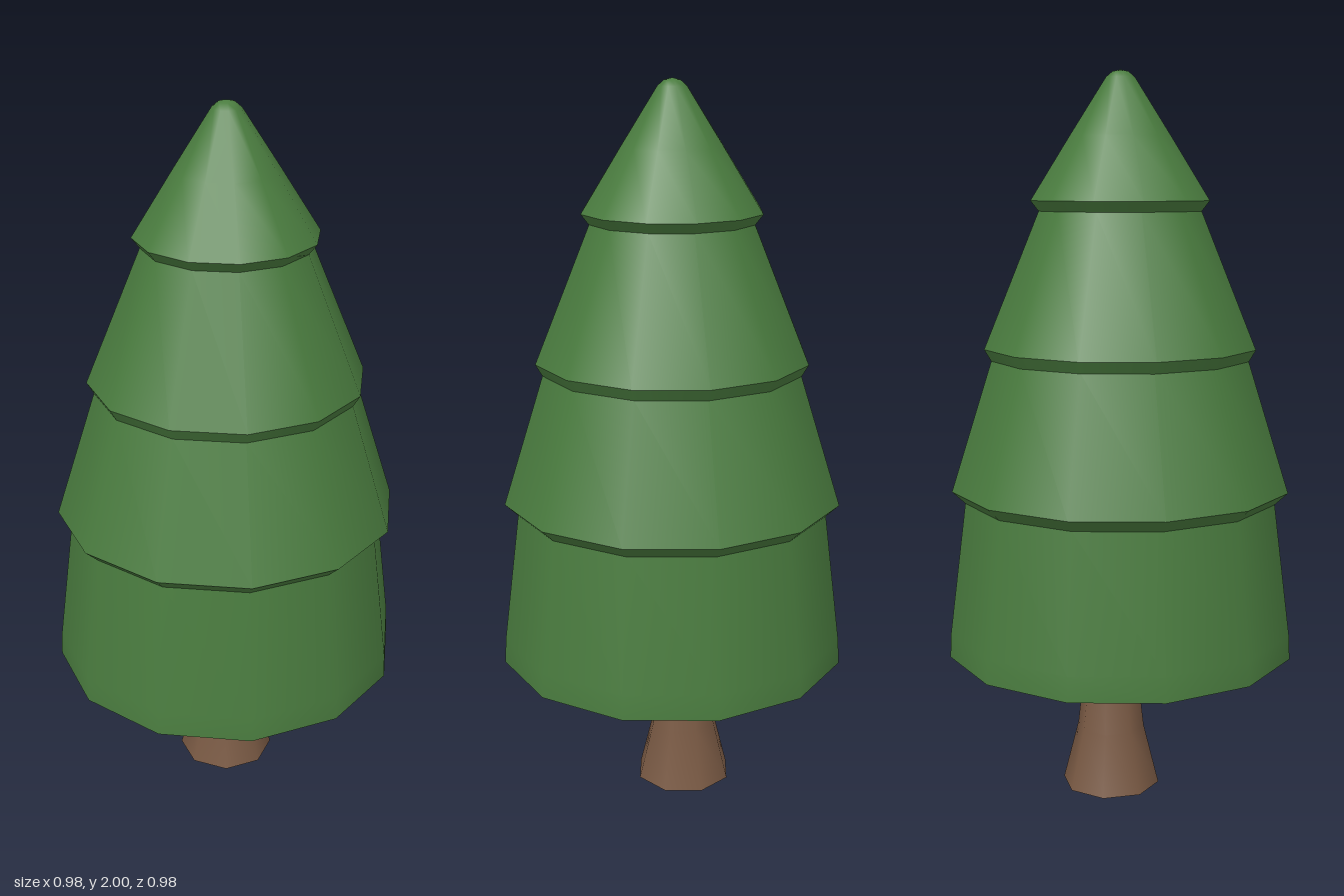
import * as THREE from 'three';

const green = new THREE.MeshStandardMaterial({ color: 0x4a7c3f });
const brown = new THREE.MeshStandardMaterial({ color: 0x7a5a44 });

// Revolve a bottom-to-top [radius, height] profile, smooth around its sides
function lathe(name, profile, sides, material, phase = 0) {
  const points = profile.map(([r, y]) => new THREE.Vector2(r, y));
  const mesh = new THREE.Mesh(new THREE.LatheGeometry(points, sides, phase), material);
  mesh.name = name;
  return mesh;
}

export function createModel() {
  const tree = new THREE.Group();
  tree.name = 'tree';

  // Flared trunk, slightly off the tree's axis
  const trunk = new THREE.Group();
  trunk.name = 'trunk';
  trunk.position.set(-0.015, 0, -0.032);
  trunk.add(
    lathe('trunkBase', [[0, 0], [0.138, 0]], 8, brown, Math.PI / 8),
    lathe('trunkSide', [[0.138, 0], [0.095, 0.17], [0.07, 0.39]], 8, brown, Math.PI / 8)
  );
  tree.add(trunk);

  // Each tier: an undercut below the lip, then a skirt rising to the next tier
  const tiers = [
    { under: [[0, 0.385], [0.436, 0.385], [0.488, 0.402]], skirt: [[0.488, 0.402], [0.485, 0.47], [0.438, 0.838]] },
    { under: [[0.438, 0.838], [0.474, 0.872]], skirt: [[0.474, 0.872], [0.36, 1.228]] },
    { under: [[0.36, 1.228], [0.379, 1.26]], skirt: [[0.379, 1.26], [0.226, 1.628]] },
    {
      under: [[0.226, 1.628], [0.248, 1.656]],
      skirt: [[0.248, 1.656], [0.14, 1.826], [0.04, 1.98], [0.022, 1.995], [0, 2]],
    },
  ];
  tiers.forEach(({ under, skirt }, i) => {
    const tier = new THREE.Group();
    tier.name = `foliageTier${i + 1}`;
    tier.add(lathe('undercut', under, 12, green), lathe('skirt', skirt, 12, green));
    tree.add(tier);
  });

  return tree;
}
